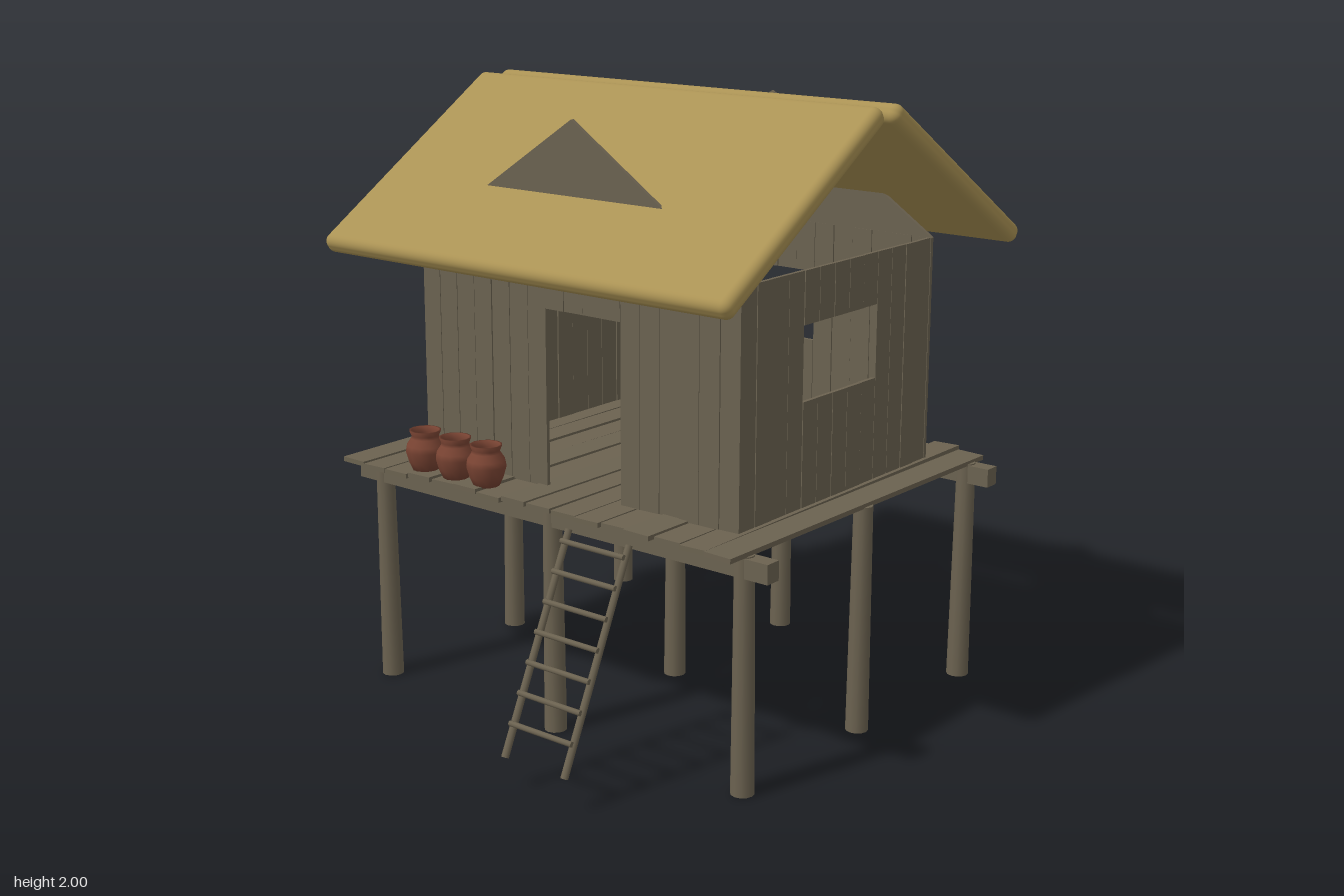
import * as THREE from 'three';
import { RoundedBoxGeometry } from 'three/addons/geometries/RoundedBoxGeometry.js';

export function createModel() {
  const material = (name, color) => {
    const m = new THREE.MeshStandardMaterial({ color });
    m.name = name;
    return m;
  };
  const wood = material('weathered wood', 0x6b6250);
  const thatch = material('thatch', 0xaa9254);
  const clay = material('clay', 0x7a4433);

  let seed = 7;
  const jitter = (amount) => {
    seed = (seed * 16807) % 2147483647;
    return (seed / 2147483647 - 0.5) * 2 * amount;
  };

  const model = new THREE.Group();
  model.name = 'stiltHut';
  const group = (name) => {
    const g = new THREE.Group();
    g.name = name;
    model.add(g);
    return g;
  };
  const add = (parent, name, geometry, mat, x, y, z) => {
    const mesh = new THREE.Mesh(geometry, mat);
    mesh.name = name;
    mesh.position.set(x, y, z);
    parent.add(mesh);
    return mesh;
  };

  // Round pole between two points
  const pole = (parent, name, a, b, r0, r1, sides) => {
    const dir = b.clone().sub(a);
    const mid = a.clone().add(b).multiplyScalar(0.5);
    const mesh = add(parent, name, new THREE.CylinderGeometry(r1, r0, dir.length(), sides), wood, mid.x, mid.y, mid.z);
    mesh.quaternion.setFromUnitVectors(new THREE.Vector3(0, 1, 0), dir.normalize());
  };
  const V = (x, y, z) => new THREE.Vector3(x, y, z);

  // Nine stilts and the two beams across them
  const stilts = group('stilts');
  for (const x of [-0.745, 0.005, 0.755])
    for (const z of [0.48, -0.13, -0.745])
      pole(stilts, 'stilt', V(x, 0, z), V(x + jitter(0.006), 0.755, z), 0.037, 0.031, 12);
  for (const z of [0.478, -0.75])
    add(stilts, 'beam', new THREE.BoxGeometry(1.7, 0.062, 0.055), wood, 0.005, 0.72, z);

  // Uneven floor planks running front to back
  const floor = group('floor');
  for (let i = 0; i < 16; i++) {
    const front = 0.565 + jitter(0.015);
    const back = -0.83 + jitter(0.015);
    const plank = add(floor, 'floorPlank', new THREE.BoxGeometry(0.097, 0.016, front - back), wood,
      -0.81 + i * 0.1025, 0.762 + jitter(0.003), (front + back) / 2);
    plank.rotation.set(jitter(0.004), jitter(0.004), jitter(0.03));
  }

  // Plank walls; an opening is a run of planks cut between two heights
  const bottom = 0.768, top = 1.518, thick = 0.013;
  const wall = (name, count, pitch, opening) => {
    const g = group(name);
    for (let i = 0; i < count; i++) {
      const open = opening && i >= opening.from && i <= opening.to;
      const spans = open ? [[bottom, opening.low], [opening.high, top]] : [[bottom, top]];
      const width = pitch - 0.002 + jitter(0.0015);
      const depth = jitter(0.002);
      for (const [y0, y1] of spans) {
        if (y1 - y0 < 0.01) continue;
        add(g, 'wallPlank', new THREE.BoxGeometry(width, y1 - y0, thick), wood,
          (i + 0.5 - count / 2) * pitch, (y0 + y1) / 2, depth);
      }
    }
    return g;
  };
  const frontZ = 0.379, backZ = -0.643, cx = 0.01, cz = -0.132;
  wall('frontWall', 17, 0.0765, { from: 7, to: 10, low: bottom, high: 1.35 }).position.set(cx, 0, frontZ);
  wall('backWall', 17, 0.0765, { from: 6, to: 10, low: 1.11, high: 1.35 }).position.set(cx, 0, backZ);
  const left = wall('leftWall', 13, 0.0795, { from: 4, to: 8, low: 1.11, high: 1.35 });
  left.position.set(0.652, 0, cz);
  left.rotation.y = Math.PI / 2;
  const right = wall('rightWall', 13, 0.0795);
  right.position.set(-0.632, 0, cz);
  right.rotation.y = Math.PI / 2;

  // Triangular gables above the front and back walls
  const triangle = new THREE.Shape([
    new THREE.Vector2(-0.65, 0), new THREE.Vector2(0.65, 0), new THREE.Vector2(0, 0.43)]);
  const gable = new THREE.ExtrudeGeometry(triangle, { depth: thick, bevelEnabled: false });
  for (const [name, z] of [['frontGable', frontZ], ['backGable', backZ]])
    add(model, name, gable, wood, cx, top, z - thick / 2);

  // Two thick thatch slabs with a gap at the ridge
  const slab = new RoundedBoxGeometry(1.63, 0.066, 0.9, 4, 0.028);
  const slope = THREE.MathUtils.degToRad(32.5);
  add(model, 'frontRoof', slab, thatch, 0.005, 1.743, 0.278).rotation.x = slope;
  add(model, 'backRoof', slab, thatch, 0.005, 1.743, -0.543).rotation.x = -slope;

  // Leaning ladder
  const ladder = group('ladder');
  const low = V(0, 0.108, 0.917), high = V(0, 0.75, 0.62);
  for (const x of [0.195, 0.432])
    pole(ladder, 'ladderRail', low.clone().setX(x), high.clone().setX(x), 0.012, 0.011, 8);
  for (let i = 0; i < 7; i++) {
    const y = 0.207 + i * 0.0855;
    const z = THREE.MathUtils.mapLinear(y, low.y, high.y, low.z, high.z) + 0.016;
    pole(ladder, 'ladderRung', V(0.19, y, z), V(0.437, y, z), 0.009, 0.009, 8);
  }

  // Clay pots on the deck
  const profile = [[0, 0], [0.042, 0], [0.056, 0.03], [0.066, 0.066], [0.062, 0.085], [0.047, 0.108],
    [0.046, 0.118], [0.053, 0.135], [0.046, 0.135], [0.04, 0.115], [0.05, 0.07], [0, 0.02]]
    .map(([x, y]) => new THREE.Vector2(x, y));
  const pot = new THREE.LatheGeometry(profile, 12);
  const pots = group('pots');
  for (const x of [-0.54, -0.403, -0.266]) add(pots, 'pot', pot, clay, x, 0.77, 0.496);

  return model;
}
